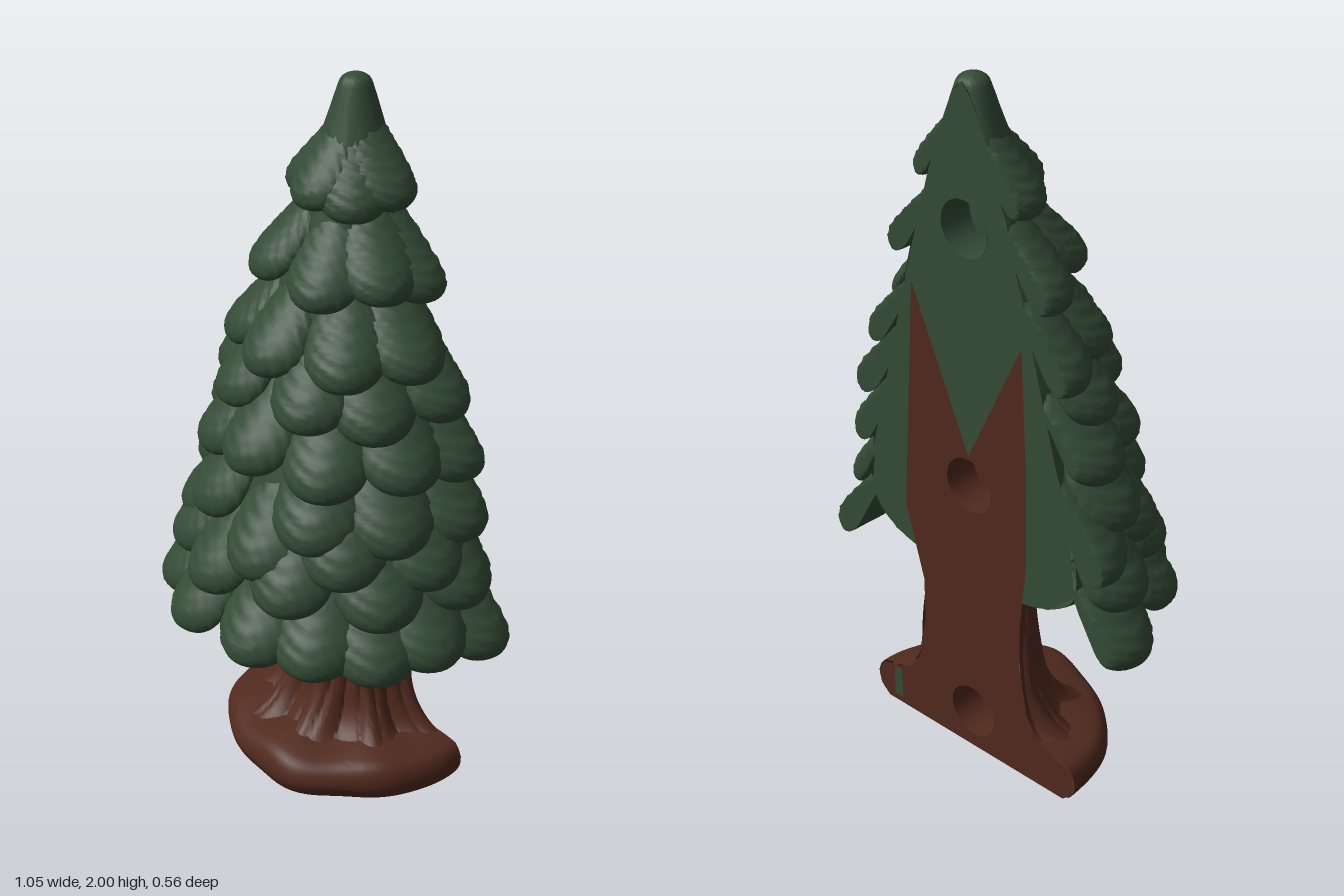
import * as THREE from 'three';
import { toCreasedNormals } from 'three/addons/utils/BufferGeometryUtils.js';

const BACK = -0.28;   // flat rear plane
const AXIS = -0.24;   // centre line of the foliage
const HALF = Math.PI / 2;

const green = new THREE.MeshStandardMaterial({ color: 0x344b35, side: THREE.DoubleSide });
green.name = 'needle green';
const brown = new THREE.MeshStandardMaterial({ color: 0x512a1e, side: THREE.DoubleSide });
brown.name = 'bark brown';

function mesh(name, geometry, material) {
  const m = new THREE.Mesh(geometry, material);
  m.name = name;
  return m;
}

// Grid surface from a rule point(u, v), u around and v along
function loft(point, nu, nv) {
  const pos = [], idx = [];
  for (let j = 0; j <= nv; j++) {
    for (let i = 0; i <= nu; i++) {
      const p = point(i / nu, j / nv);
      pos.push(p[0], p[1], Math.max(p[2], BACK + 0.002));
    }
  }
  for (let j = 0; j < nv; j++) {
    for (let i = 0; i < nu; i++) {
      const a = j * (nu + 1) + i, b = a + 1, d = a + nu + 1, c = d + 1;
      idx.push(a, b, d, b, c, d);
    }
  }
  const g = new THREE.BufferGeometry();
  g.setAttribute('position', new THREE.Float32BufferAttribute(pos, 3));
  g.setIndex(idx);
  return toCreasedNormals(g, 1.0);
}

const spline = (pts) => new THREE.SplineCurve(pts.map((p) => new THREE.Vector2(p[0], p[1])));

// Foliage core: [radius, height]
const corePoints = [[0.13, 0.56], [0.28, 0.6], [0.365, 0.68], [0.35, 0.85], [0.3, 1.05], [0.25, 1.25],
  [0.2, 1.45], [0.157, 1.6], [0.13, 1.7], [0.1, 1.8], [0.066, 1.9], [0.05, 1.95], [0.035, 1.985], [0, 2]];

function coreRadius(y) {
  const i = Math.max(1, corePoints.findIndex((p) => p[1] >= y));
  const [r0, y0] = corePoints[i - 1], [r1, y1] = corePoints[i];
  return r0 + (r1 - r0) * (y - y0) / (y1 - y0);
}

function coreGeometry() {
  const profile = spline(corePoints);
  return loft((u, v) => {
    const p = profile.getPoint(v), r = Math.max(p.x, 0);
    const reach = HALF + Math.asin(Math.min(1, 0.04 / Math.max(r, 0.001)));
    const phi = (u * 2 - 1) * reach;
    const ripple = 1 + 0.02 * Math.sin(phi * 11 + p.y * 9) * Math.min(1, (2 - p.y) * 3);
    return [r * ripple * Math.sin(phi), p.y, AXIS + r * ripple * Math.cos(phi)];
  }, 48, 50);
}

// One drooping scale-like bough whose rounded tip sits at radius R and lowest height y
function boughGeometry(angle, R, y) {
  const k = THREE.MathUtils.clamp(1.1 - (y - 0.5) * 0.28, 0.75, 1);
  const W = 0.118 * k, H = 0.044 * k;
  const rootY = y + 0.3 * k, rootR = coreRadius(rootY) - 0.03;
  const tipR = R - 0.014, tipY = y + 0.03;
  const path = new THREE.QuadraticBezierCurve(
    new THREE.Vector2(rootR, rootY),
    new THREE.Vector2(rootR + (tipR - rootR) * 0.58, tipY + (rootY - tipY) * 0.45),
    new THREE.Vector2(tipR, tipY));
  const s = Math.sin(angle), c = Math.cos(angle);
  const round = (t, from) => (t > from ? Math.sqrt(Math.max(0, 1 - ((t - from) / (1 - from)) ** 2)) : 1);
  return loft((u, v) => {
    const t = 1 - (1 - v) ** 1.5;
    const th = u * Math.PI * 2, ct = Math.cos(th), st = Math.sin(th);
    const p = path.getPoint(t), d = path.getTangent(t);
    const w = W * (0.5 + 0.5 * Math.sin(Math.min(1, t / 0.65) * HALF)) * round(t, 0.62);
    let h = H * (0.45 + 0.55 * Math.min(1, t / 0.7)) * round(t, 0.76) * st - 0.25 * w * ct * ct;
    // herringbone veins on the upper face
    if (st > 0) h += 0.0045 * Math.sqrt(Math.abs(ct)) * round(t, 0.62) * Math.cos(Math.PI * 2 * (6 * t - 3.5 * Math.abs(ct)));
    const r = p.x - d.y * h, side = w * ct;
    return [r * s + side * c, p.y + d.x * h, AXIS - 0.008 + r * c - side * s];
  }, 30, 32);
}

// Tiers of boughs: tip height, tip radius, angles from the front in degrees
const tiers = [
  [1.64, 0.195, [-78, -12, 34, 76]],
  [1.43, 0.285, [-84, -38, 14, 56, 86]],
  [1.23, 0.345, [-86, -52, -14, 32, 70]],
  [1.11, 0.38, [-70, -34, 15, 48, 84]],
  [0.96, 0.42, [-78, -42, -11, 25, 60, 88]],
  [0.8, 0.445, [-72, -34, 22, 54, 85]],
  [0.71, 0.465, [-88, -54, 0, 34, 68]],
  [0.62, 0.49, [-78, -48, -22, 14, 48, 80]],
  [0.475, 0.525, [-82, -52, -29, 3, 25, 46, 65, 87]],
];

// Base slab and trunk: [radius, height]
const basePoints = [[0, 0], [0.2, 0.002], [0.33, 0.006], [0.362, 0.03], [0.37, 0.07], [0.35, 0.11], [0.3, 0.128], [0.24, 0.14]];
const trunkPoints = [[0.3, 0.112], [0.25, 0.145], [0.212, 0.2], [0.188, 0.28], [0.174, 0.4], [0.172, 0.55], [0.19, 0.68]];

function baseGeometry() {
  const profile = spline(basePoints);
  return loft((u, v) => {
    const p = profile.getPoint(v), phi = (u * 2 - 1) * HALF, c = Math.cos(phi);
    const r = Math.max(0, p.x) * (1 + c * (0.025 * Math.sin(phi * 5 + 1) + 0.015 * Math.sin(phi * 9)));
    const lift = p.y > 0.06 ? 0.008 * Math.sin(phi * 7 + 2) * c : 0;
    return [r * Math.sin(phi), Math.max(0, p.y) + lift, BACK + r * c];
  }, 64, 30);
}

function trunkGeometry() {
  const profile = spline(trunkPoints);
  return loft((u, v) => {
    const p = profile.getPoint(v), phi = (u * 2 - 1) * HALF;
    const bend = phi + 0.05 * Math.sin(p.y * 14 + phi * 3);
    // bark: broad roots that swell near the ground, plus narrow cracks
    const swell = 0.007 + 0.014 * THREE.MathUtils.clamp((0.26 - p.y) / 0.12, 0, 1);
    const bark = swell * Math.sin(bend * 9 + 0.6)
      + 0.013 * (Math.sqrt(Math.abs(Math.sin(bend * 13 + Math.sin(p.y * 9)))) - 0.75);
    const r = p.x + bark;
    return [r * Math.sin(phi), p.y, BACK + r * Math.cos(phi)];
  }, 150, 28);
}

// Flat rear panel facing -z, with round holes at the given heights
const HOLE = 0.078;
function panelGeometry(points, holes, z) {
  const shape = new THREE.Shape(points.map((p) => new THREE.Vector2(-p[0], p[1])));
  for (const y of holes) {
    const hole = new THREE.Path();
    hole.absarc(0, y, HOLE, 0, Math.PI * 2, true);
    shape.holes.push(hole);
  }
  return new THREE.ShapeGeometry(shape, 24).rotateY(Math.PI).translate(0, 0, z);
}

function socket(y, material) {
  const g = new THREE.Group();
  g.name = 'rearSocket';
  const depth = 0.1;
  g.add(mesh('socketWall', new THREE.CylinderGeometry(HOLE, HOLE, depth, 32, 1, true)
    .rotateX(HALF).translate(0, y, BACK + depth / 2), material));
  g.add(mesh('socketEnd', new THREE.CircleGeometry(HOLE, 32)
    .rotateY(Math.PI).translate(0, y, BACK + depth), material));
  return g;
}

export function createModel() {
  const tree = new THREE.Group();
  tree.name = 'halfFirTree';

  // Foliage
  const foliage = new THREE.Group();
  foliage.name = 'foliage';
  foliage.add(mesh('foliageCore', coreGeometry(), green));
  tiers.forEach(([y, R, angles], n) => angles.forEach((deg, i) => {
    const jitter = 0.014 * Math.sin(n * 5.3 + i * 2.7);
    foliage.add(mesh('bough', boughGeometry(deg * Math.PI / 180, R, y + jitter), green));
  }));
  tree.add(foliage);

  // Trunk and base
  tree.add(mesh('trunk', trunkGeometry(), brown));
  tree.add(mesh('base', baseGeometry(), brown));

  // Rear panels
  const edge = corePoints.map(([r, y]) => [Math.sqrt(Math.max(0, r * r - 0.0016)), y]);
  const outline = [...edge, ...edge.slice(0, -1).reverse().map(([x, y]) => [-x, y])];
  tree.add(mesh('foliageBack', panelGeometry(outline, [1.6, 0.86], BACK + 0.001), green));
  const trunkOutline = [[0.33, 0], [0.362, 0.03], [0.37, 0.07], [0.35, 0.11], [0.29, 0.125], [0.235, 0.15], [0.2, 0.21],
    [0.175, 0.35], [0.175, 0.48], [0.235, 0.7], [0.215, 1.0], [0.188, 1.39], [0, 0.95], [-0.188, 1.34],
    [-0.2, 1.0], [-0.2, 0.7], [-0.175, 0.48], [-0.175, 0.35], [-0.2, 0.21], [-0.235, 0.15], [-0.29, 0.125],
    [-0.35, 0.11], [-0.37, 0.07], [-0.362, 0.03], [-0.33, 0]];
  tree.add(mesh('trunkBack', panelGeometry(trunkOutline, [0.86, 0.12], BACK), brown));
  tree.add(mesh('greenMark', panelGeometry([[0.275, 0.02], [0.305, 0.02], [0.305, 0.115], [0.275, 0.12]], [], BACK - 0.001), green));

  // Sockets
  tree.add(socket(1.6, green), socket(0.86, brown), socket(0.12, brown));
  return tree;
}
